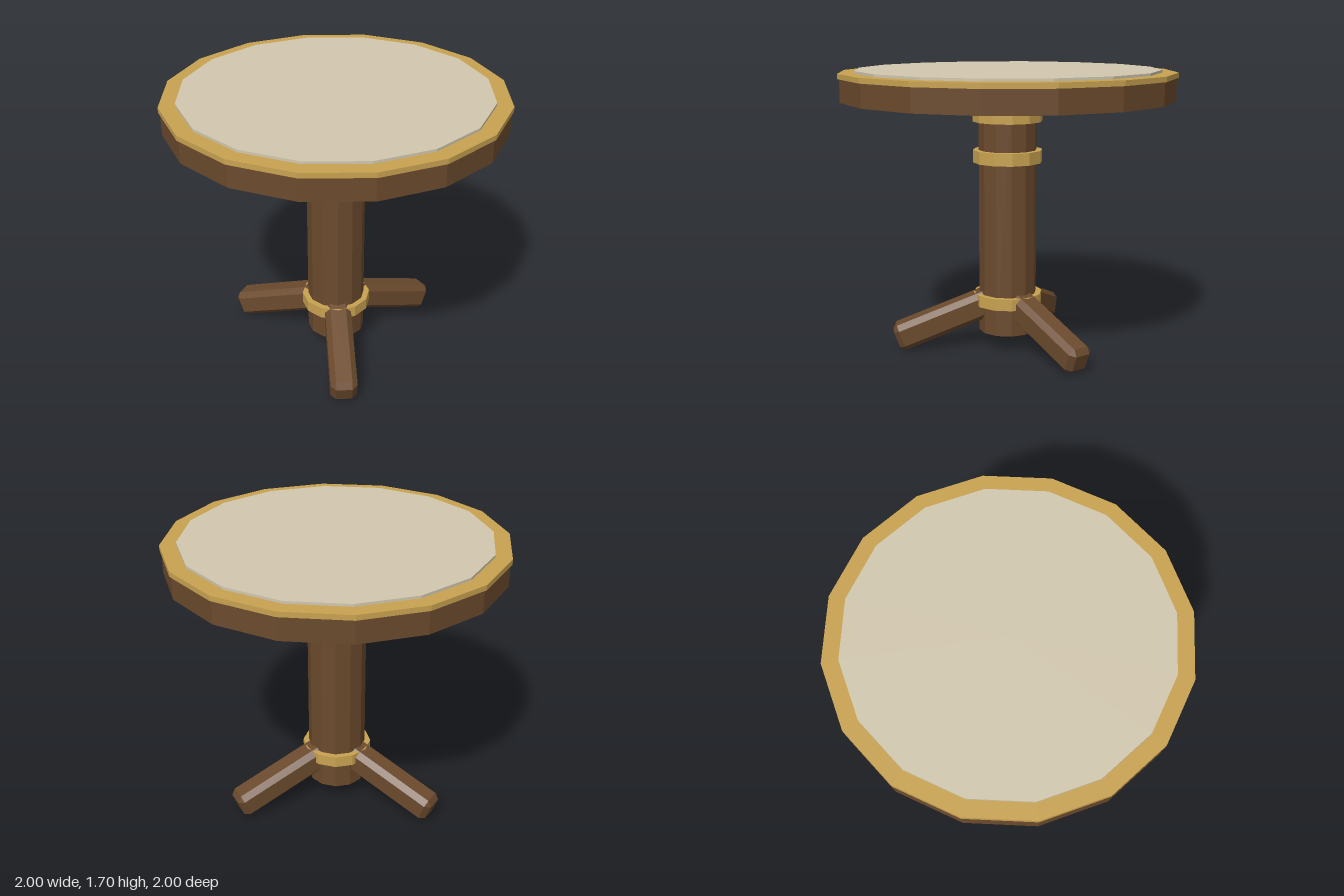
import * as THREE from 'three';
import { ConvexGeometry } from 'three/addons/geometries/ConvexGeometry.js';

const material = (name, color) => {
  const m = new THREE.MeshStandardMaterial({ color, flatShading: true });
  m.name = name;
  return m;
};

// Box with every edge cut by a single chamfer
function chamferBox(w, h, d, c) {
  const half = [w / 2, h / 2, d / 2];
  const points = [];
  for (const x of [-1, 1]) for (const y of [-1, 1]) for (const z of [-1, 1]) {
    for (let face = 0; face < 3; face++) {
      const [px, py, pz] = half.map((s, i) => (i === face ? s : s - c));
      points.push(new THREE.Vector3(x * px, y * py, z * pz));
    }
  }
  return new ConvexGeometry(points);
}

export function createModel() {
  const model = new THREE.Group();
  model.name = 'pedestalTable';
  const wood = material('dark wood', 0x6b4a2d);
  const brass = material('brass', 0xc8a250);
  const stone = material('pale top', 0xd2c8b0);

  // Upright faceted disc between two heights
  const disc = (name, radius, y0, y1, sides, mat) => {
    const mesh = new THREE.Mesh(new THREE.CylinderGeometry(radius, radius, y1 - y0, sides), mat);
    mesh.position.y = (y0 + y1) / 2;
    mesh.name = name;
    model.add(mesh);
  };

  // Table top
  disc('tableTop', 0.99, 1.52, 1.655, 16, wood);
  disc('topRim', 1, 1.655, 1.685, 16, brass);
  disc('topInlay', 0.905, 1.68, 1.7, 16, stone);

  // Column and its bands
  disc('column', 0.175, 0.1, 1.53, 12, wood);
  [[0.27, 0.34], [1.145, 1.22], [1.39, 1.46]].forEach(([y0, y1], i) =>
    disc(`columnBand${i + 1}`, 0.21, y0, y1, 12, brass));

  // Three splayed feet, one pointing to +x
  const tilt = 0.36;
  const footGeometry = chamferBox(0.645, 0.165, 0.16, 0.032);
  for (let i = 0; i < 3; i++) {
    const foot = new THREE.Group();
    foot.name = `foot${i + 1}`;
    foot.rotation.y = (i * Math.PI * 2) / 3;
    const bar = new THREE.Mesh(footGeometry, wood);
    bar.name = 'footBar';
    bar.position.set(0.385, 0.182, 0);
    bar.rotation.z = -tilt;
    foot.add(bar);
    model.add(foot);
  }
  return model;
}
